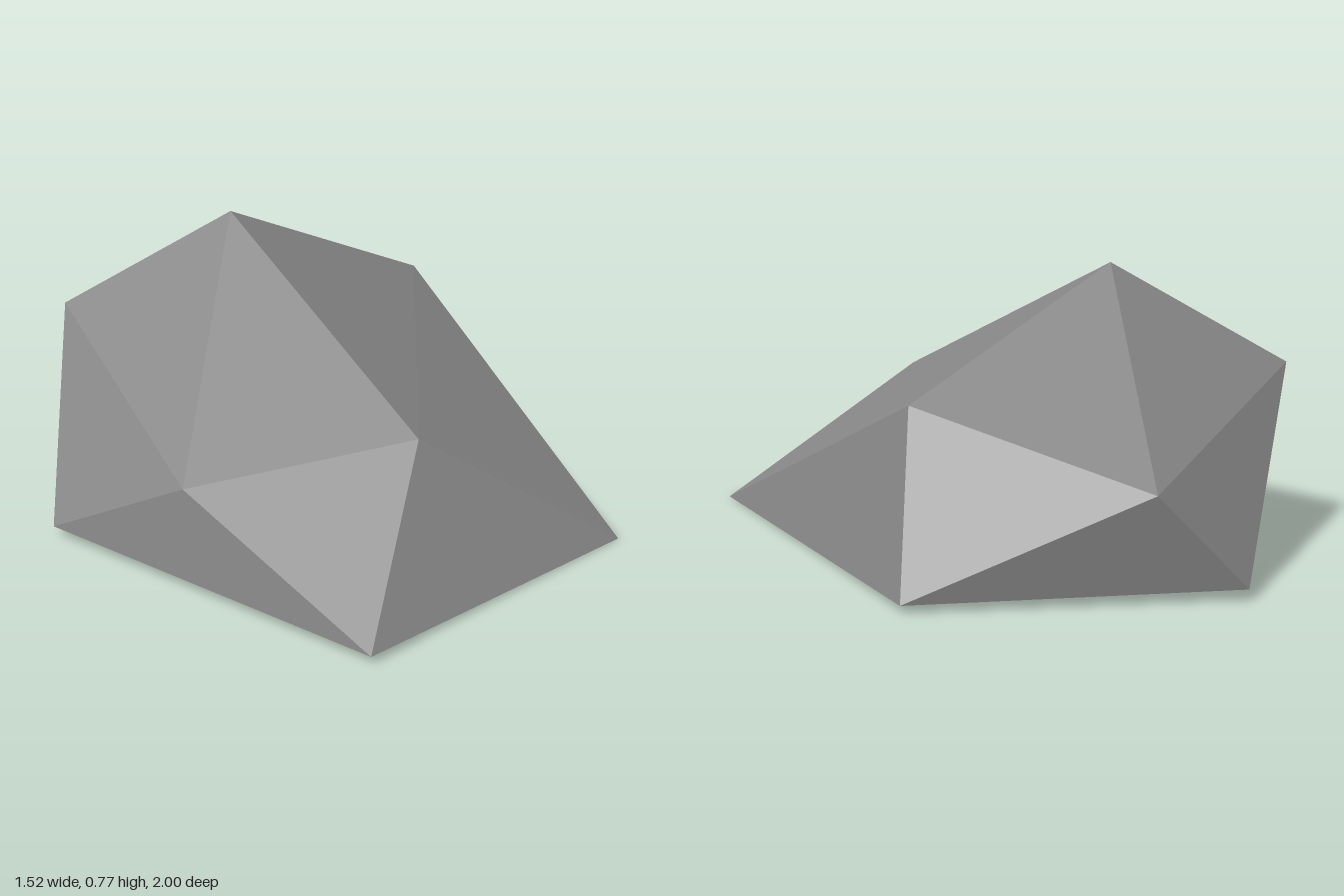
import * as THREE from 'three';

// Low-poly boulder: a five-cornered base, a shoulder ring and one peak
const corners = {
  // base
  A: [-0.305, 0.02, 0.995], B: [0.63, 0, 0.71], C: [0.76, 0.02, -0.635],
  D: [-0.015, 0.03, -1], E: [-0.765, 0.03, 0],
  // shoulder
  Q: [0.037, 0.378, 0.615], R: [0.62, 0.462, -0.43], S: [0.215, 0.28, -0.93],
  T: [-0.525, 0.487, -0.52], U: [-0.545, 0.27, 0.41],
  // peak
  P: [-0.08, 0.77, -0.3],
};

const facets = [
  'PQR UQP UPT TPS PRS',           // top
  'QBR QAB UAQ EAU EUT',           // front and sides
  'ETD TSD SCD SRC RBC',           // back and sides
  'EDC ECB EBA',                   // underside
].join(' ').split(' ');

export function createModel() {
  const stone = new THREE.MeshStandardMaterial({ color: 0x888888, flatShading: true });
  stone.name = 'stone grey';

  const positions = facets.flatMap((f) => [...f].flatMap((c) => corners[c]));
  const geometry = new THREE.BufferGeometry();
  geometry.setAttribute('position', new THREE.Float32BufferAttribute(positions, 3));
  geometry.computeVertexNormals();

  const rock = new THREE.Mesh(geometry, stone);
  rock.name = 'rock';
  const group = new THREE.Group();
  group.name = 'boulder';
  group.add(rock);
  return group;
}
